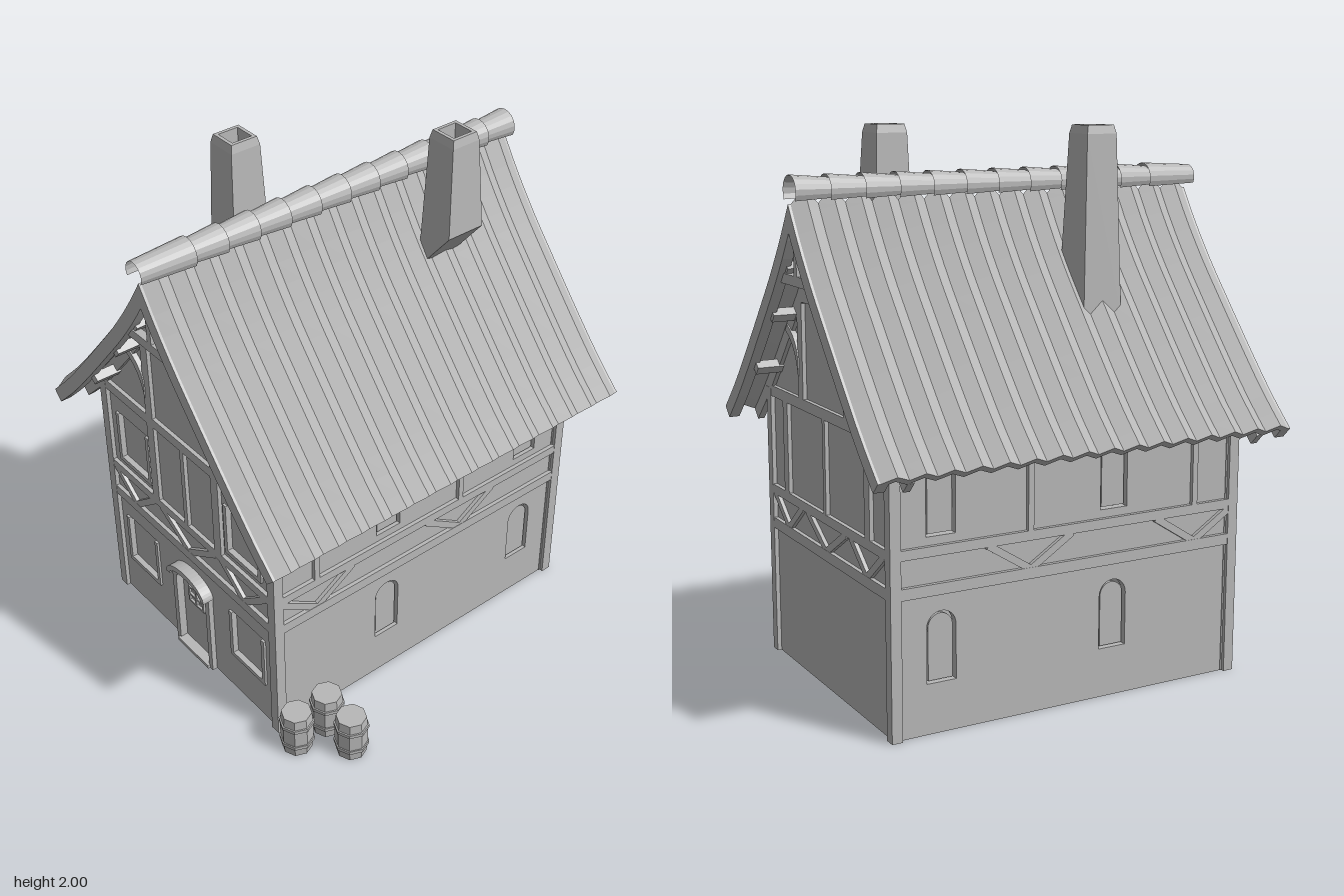
import * as THREE from 'three';

const grey = new THREE.MeshStandardMaterial({ color: 0xb8b8b8, side: THREE.DoubleSide });
grey.name = 'stone grey';

const W = 0.525, D = 0.70; // half width and half depth of the house

function add(parent, name, geometry, x = 0, y = 0, z = 0) {
  const flat = geometry.index ? geometry.toNonIndexed() : geometry;
  flat.computeVertexNormals();
  const mesh = new THREE.Mesh(flat, grey);
  mesh.name = name;
  mesh.position.set(x, y, z);
  parent.add(mesh);
  return mesh;
}
const box = (p, name, w, h, d, x, y, z) => add(p, name, new THREE.BoxGeometry(w, h, d), x, y, z);
const extrude = (p, name, shape, depth, z) =>
  add(p, name, new THREE.ExtrudeGeometry(shape, { depth, bevelEnabled: false, curveSegments: 10 }), 0, 0, z);

// timber lying on a facade, from point to point
function beam(p, name, x1, y1, x2, y2, w, z = -0.015, depth = 0.03) {
  const m = box(p, name, Math.hypot(x2 - x1, y2 - y1), w, depth, (x1 + x2) / 2, (y1 + y2) / 2, z);
  m.rotation.z = Math.atan2(y2 - y1, x2 - x1);
}

// round-headed outline standing on y, h to the top of the arch
function arch(x, y, w, h, rise, Type = THREE.Shape) {
  const s = new Type();
  s.moveTo(x - w / 2, y);
  s.lineTo(x + w / 2, y);
  s.lineTo(x + w / 2, y + h - rise);
  s.absellipse(x, y + h - rise, w / 2, rise, 0, Math.PI, false);
  s.closePath();
  return s;
}
function rect(x, y, w, h, Type = THREE.Shape) {
  return new Type([[-1, -1], [1, -1], [1, 1], [-1, 1]].map(([a, b]) =>
    new THREE.Vector2(x + a * w / 2, y + b * h / 2)));
}

// sagging roof line, from ridge to eave
const roofLine = new THREE.SplineCurve([[0, 1.8], [0.1, 1.645], [0.2, 1.51], [0.3, 1.39],
  [0.45, 1.215], [0.58, 1.07], [0.695, 0.957]].map(p => new THREE.Vector2(...p)));

// whole roof section, eave to eave, moved inward by a given distance
function roofSection(off, n = 14) {
  const half = [];
  for (let i = 0; i <= n; i++) {
    const p = roofLine.getPoint(i / n), t = roofLine.getTangent(i / n);
    const x = p.x + t.y * off, y = p.y - t.x * off;
    half.push(x > 0 && i > 0 ? new THREE.Vector2(x, y)
      : new THREE.Vector2(0, 1.8 - off / 0.54));
  }
  return [...half.slice(1).reverse().map(p => new THREE.Vector2(-p.x, p.y)), ...half];
}
function roofBand(a, b) {
  return new THREE.Shape([...roofSection(a), ...roofSection(b).reverse()]);
}

// corrugated roof lofted along z
function roofGeometry() {
  const pos = [], idx = [], rows = 32;
  let n = 0, m = 0;
  for (let j = 0; j <= rows; j++) {
    const off = j % 2 ? 0 : 0.028;
    const top = roofSection(off), ring = [...top, ...roofSection(off + 0.025).reverse()];
    n = ring.length; m = top.length;
    for (const p of ring) pos.push(p.x, p.y, -0.8 + 1.6 * j / rows);
  }
  for (let j = 0; j < rows; j++) for (let i = 0; i < n; i++) {
    const a = j * n + i, b = j * n + (i + 1) % n;
    idx.push(a, a + n, b, b, a + n, b + n);
  }
  for (let i = 0; i < m - 1; i++) {
    const e = rows * n, t = i, t1 = i + 1, u = n - 1 - i, u1 = n - 2 - i;
    idx.push(e + t, e + u, e + t1, e + t1, e + u, e + u1, t, t1, u, t1, u1, u);
  }
  const g = new THREE.BufferGeometry();
  g.setAttribute('position', new THREE.Float32BufferAttribute(pos, 3));
  g.setIndex(idx);
  return g;
}

// mid-height rails and V braces; each brace is [centre, half width]
function timberBand(f, half, braces) {
  beam(f, 'lowerRail', -half, 0.51, half, 0.51, 0.04);
  beam(f, 'upperRail', -half, 0.643, half, 0.643, 0.035);
  for (const [c, h] of braces) for (const s of [-1, 1])
    beam(f, 'vBrace', c, 0.525, c + s * h, 0.63, 0.026, -0.016);
}

function gableFacade(front) {
  const f = new THREE.Group();
  f.name = front ? 'frontFacade' : 'backFacade';
  const top = roofSection(0.05).filter(p => Math.abs(p.x) < W - 0.02);
  const wall = new THREE.Shape([new THREE.Vector2(-W + 0.012, 0), new THREE.Vector2(-W + 0.012, 1.04),
    ...top, new THREE.Vector2(W - 0.012, 1.04), new THREE.Vector2(W - 0.012, 0)]);
  if (front) {
    wall.holes.push(arch(0, 0.01, 0.19, 0.38, 0.05, THREE.Path));
    for (const x of [-0.338, 0.338]) for (const y of [0.29, 0.80]) {
      wall.holes.push(rect(x, y, 0.2, 0.22, THREE.Path));
      box(f, 'windowPane', 0.19, 0.214, 0.012, x, y, -0.034);
      for (const s of [-1, 1]) box(f, 'windowJamb', 0.018, 0.22, 0.03, x + s * 0.097, y, -0.021);
      box(f, 'windowSill', 0.21, 0.018, 0.03, x, y - 0.103, -0.021);
    }
  }
  extrude(f, 'gableWall', wall, 0.03, -0.045);
  timberBand(f, W, [[-0.345, 0.13], [0, 0.17], [0.338, 0.13]]);
  beam(f, 'tieBeam', -W, 1.02, W, 1.02, 0.04);
  for (const x of front ? [-0.195, 0, 0.195] : [-0.35, 0, 0.35])
    beam(f, 'storeyPost', x, 0.65, x, 1.01, x === 0 ? 0.022 : 0.042);
  beam(f, 'collarBeam', -0.2, 1.41, 0.2, 1.41, 0.04);
  extrude(f, 'wallRafters', roofBand(0.05, 0.1), 0.025, -0.025);
  for (const s of [-1, 1]) {
    beam(f, 'gablePost', s * 0.195, 1.03, s * 0.195, 1.4, 0.042);
    // curved knee brace
    const k = new THREE.Shape();
    k.moveTo(s * 0.205, 1.12);
    k.quadraticCurveTo(s * 0.225, 1.23, s * 0.315, 1.27);
    k.lineTo(s * 0.3, 1.295);
    k.quadraticCurveTo(s * 0.21, 1.25, s * 0.205, 1.18);
    extrude(f, 'kneeBrace', k, 0.03, -0.025);
    // purlin ends reaching out to the verge
    for (const [x, y] of [[0.41, 1.125], [0.24, 1.34], [0.1, 1.52]])
      box(f, 'purlinEnd', 0.035, 0.035, 0.1, s * x, y, 0.035).rotation.z = -s * 0.87;
  }
  // small hanging truss under the verge
  beam(f, 'vergeCollar', -0.14, 1.487, 0.14, 1.487, 0.035, 0.075);
  beam(f, 'kingPost', 0, 1.48, 0, 1.7, 0.024, 0.075);
  extrude(f, 'bargeBoard', roofBand(0.028, 0.08), 0.04, 0.07);
  if (front) {
    extrude(f, 'door', arch(0, 0.012, 0.186, 0.372, 0.05), 0.02, -0.045);
    const frame = arch(0, 0, 0.235, 0.43, 0.065);
    frame.holes.push(arch(0, 0.005, 0.188, 0.378, 0.05, THREE.Path));
    extrude(f, 'doorFrame', frame, 0.035, -0.03);
    const hood = new THREE.Shape();
    hood.absellipse(0, 0.366, 0.122, 0.066, 0, Math.PI, false);
    hood.absellipse(0, 0.366, 0.1, 0.042, Math.PI, 0, true);
    extrude(f, 'doorHood', hood, 0.05, -0.02);
    box(f, 'doorStep', 0.2, 0.015, 0.04, 0, 0.008, -0.005);
    for (const y of [0.24, 0.275, 0.31]) box(f, 'doorGrilleBar', 0.09, 0.008, 0.012, 0, y, -0.022);
    for (const x of [-0.045, 0, 0.045]) box(f, 'doorGrilleBar', 0.008, 0.078, 0.012, x, 0.275, -0.022);
  }
  f.position.z = front ? D : -D;
  if (!front) f.rotation.y = Math.PI;
  return f;
}

function sideFacade(s) {
  const f = new THREE.Group();
  f.name = s > 0 ? 'leftFacade' : 'rightFacade';
  const wall = rect(0, 0.52, 2 * D - 0.03, 1.04);
  for (const z of [0.172, -0.507]) for (const y of [0.18, 0.69]) {
    const u = -s * z;
    wall.holes.push(arch(u, y, 0.11, 0.25, 0.055, THREE.Path));
    extrude(f, 'archedPane', arch(u, y + 0.007, 0.092, 0.232, 0.046), 0.012, -0.036);
  }
  extrude(f, 'sideWall', wall, 0.03, -0.045);
  timberBand(f, D, [[-s * 0.51, 0.165], [s * 0.17, 0.165]]);
  for (const z of [0.51, -0.17]) beam(f, 'sidePost', -s * z, 0.65, -s * z, 1.03, 0.022);
  f.position.x = s * W;
  f.rotation.y = s * Math.PI / 2;
  return f;
}

// hollow square chimney whose foot is cut on a slope
function chimney(p, x, z, foot) {
  const r2 = Math.SQRT2;
  const pts = [[0, foot], [0.078, foot], [0.06, 1.97], [0.053, 2], [0.04, 2], [0.038, 1.85], [0, 1.85]];
  const g = new THREE.LatheGeometry(pts.map(([r, y]) => new THREE.Vector2(r * r2, y)), 4);
  g.rotateY(Math.PI / 4);
  const a = g.attributes.position;
  for (let i = 0; i < a.count; i++)
    if (a.getY(i) < foot + 0.01) a.setY(i, foot + 1.2 * a.getX(i));
  add(p, 'chimney', g, x, 0, z);
}

function barrel(p, x, z) {
  const b = new THREE.Group();
  b.name = 'barrel';
  const pts = [[0, 0], [0.056, 0], [0.061, 0.06], [0.061, 0.115], [0.056, 0.175], [0, 0.175]];
  add(b, 'staves', new THREE.LatheGeometry(pts.map(q => new THREE.Vector2(...q)), 8));
  for (const y of [0.045, 0.13])
    add(b, 'hoop', new THREE.CylinderGeometry(0.065, 0.065, 0.014, 8), 0, y, 0);
  b.position.set(x, 0, z);
  p.add(b);
}

export function createModel() {
  const model = new THREE.Group();
  model.name = 'timberHouse';
  const house = new THREE.Group();
  house.name = 'house';
  house.position.x = -0.06;
  model.add(house);

  house.add(gableFacade(true), gableFacade(false), sideFacade(1), sideFacade(-1));
  for (const x of [-1, 1]) for (const z of [-1, 1])
    box(house, 'cornerPost', 0.04, 1.03, 0.04, x * (W - 0.019), 0.515, z * (D - 0.019));

  add(house, 'corrugatedRoof', roofGeometry());

  // overlapping ridge tiles, each flaring toward the back
  for (let i = 0; i < 12; i++) {
    const z0 = i === 0 ? 0.82 : 0.62 - 0.129 * (i - 1), z1 = 0.62 - 0.129 * i;
    const g = new THREE.CylinderGeometry(0.057, 0.045, z0 - z1 + 0.01, 12, 1, true, -2.1, 4.2);
    g.rotateX(-Math.PI / 2);
    add(house, 'ridgeTile', g, 0, 1.79, (z0 + z1) / 2);
  }

  chimney(model, -0.285, 0.25, 1.43);
  chimney(model, 0.16, -0.345, 1.54);

  for (const [x, z] of [[0.69, 0.54], [0.55, 0.54], [0.55, 0.68]]) barrel(model, x, z);
  return model;
}
